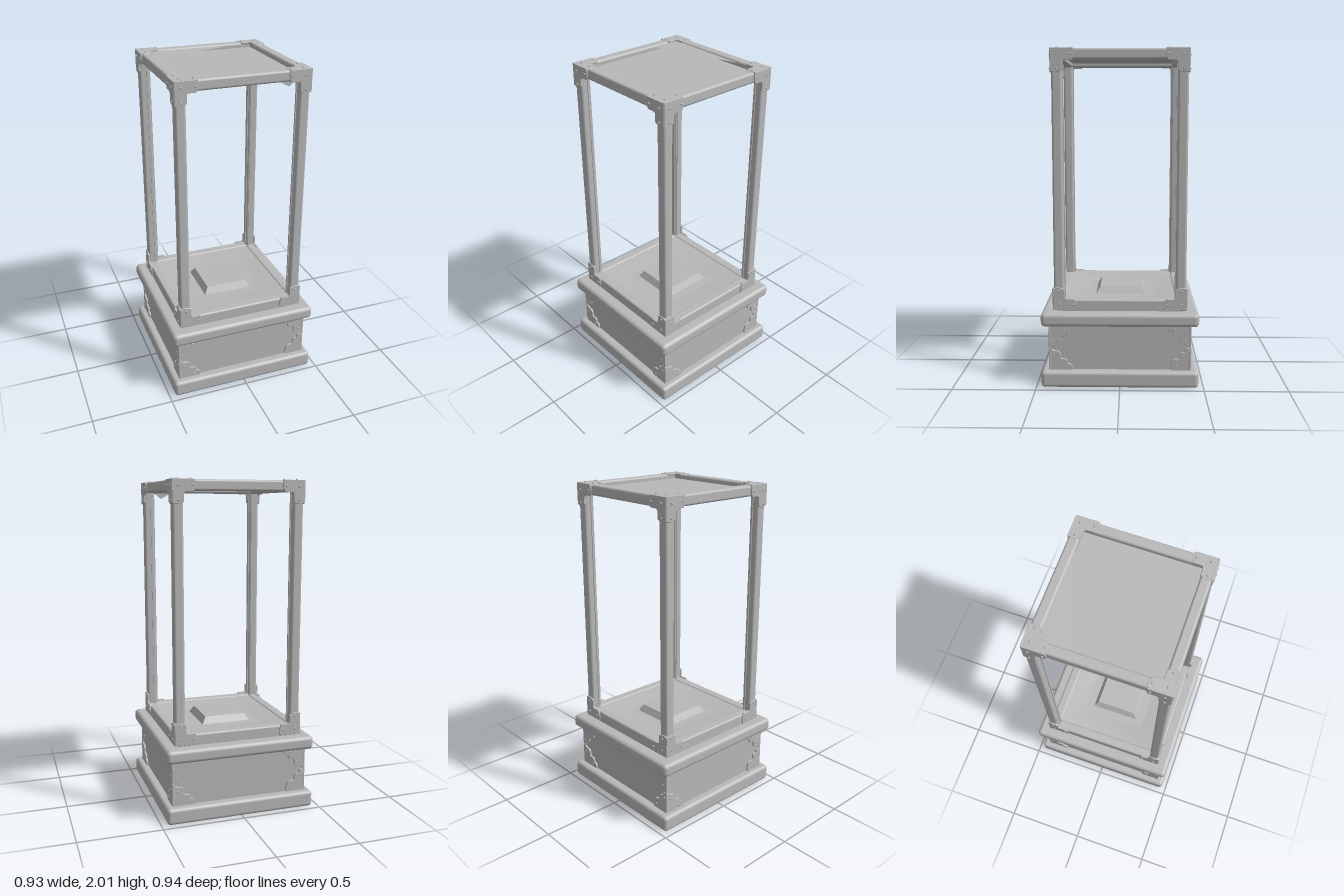
import * as THREE from 'three';
import { toCreasedNormals } from 'three/addons/utils/BufferGeometryUtils.js';
import { RoundedBoxGeometry } from 'three/addons/geometries/RoundedBoxGeometry.js';

export function createModel() {
  const model = new THREE.Group();
  model.name = 'displayCase';
  const grey = new THREE.MeshStandardMaterial({ color: 0xb8b8b8 });
  grey.name = 'plain grey';
  const greySheet = new THREE.MeshStandardMaterial({ color: 0xb8b8b8, side: THREE.DoubleSide });
  greySheet.name = 'plain grey sheet';

  const add = (parent, name, geo, x = 0, y = 0, z = 0, mat = grey) => {
    const m = new THREE.Mesh(geo, mat);
    m.name = name;
    m.position.set(x, y, z);
    parent.add(m);
    return m;
  };
  const box = (parent, name, w, h, d, x, y, z, r) =>
    add(parent, name, new RoundedBoxGeometry(w, h, d, 3, r), x, y, z);

  // Plinth: two rounded slabs with a recessed block between
  box(model, 'baseSlab', 0.93, 0.1, 0.94, 0, 0.05, 0, 0.022);
  box(model, 'plinthBlock', 0.83, 0.3, 0.83, 0, 0.238, 0, 0.008);
  box(model, 'upperSlab', 0.93, 0.082, 0.94, 0, 0.415, 0, 0.025);

  // Shallow sloping floor and raised stand inside the case
  const frustum = (top, bottom, h, open) => {
    const g = new THREE.CylinderGeometry(top * Math.SQRT2, bottom * Math.SQRT2, h, 4, 1, open);
    g.rotateY(Math.PI / 4);
    return toCreasedNormals(g, 0.5);
  };
  add(model, 'floorSlope', frustum(0.345, 0.2, 0.022, true), 0, 0.509, 0, greySheet);
  add(model, 'floor', new THREE.BoxGeometry(0.42, 0.03, 0.42), 0, 0.484, 0);
  add(model, 'stand', frustum(0.13, 0.155, 0.042, false), 0, 0.52, 0);

  // Flat L-shaped cage bracket with rounded arm ends; corner at the origin
  const bracketShape = (len, w) => {
    const s = new THREE.Shape();
    s.moveTo(0, 0);
    s.lineTo(-len + 0.012, 0);
    s.quadraticCurveTo(-len - 0.004, -w * 0.5, -len + 0.018, -w);
    s.lineTo(-w - 0.018, -w);
    s.quadraticCurveTo(-w, -w, -w, -w - 0.018);
    s.lineTo(-w, -len + 0.018);
    s.quadraticCurveTo(-w * 0.5, -len - 0.004, 0, -len + 0.012);
    return s;
  };
  // Lobed ornamental plate for the plinth corners
  const lobedShape = () => {
    const s = new THREE.Shape();
    s.moveTo(0, 0);
    s.lineTo(-0.135, 0);
    s.quadraticCurveTo(-0.145, -0.035, -0.11, -0.038);
    s.quadraticCurveTo(-0.11, -0.07, -0.085, -0.065);
    s.quadraticCurveTo(-0.065, -0.065, -0.068, -0.085);
    s.quadraticCurveTo(-0.066, -0.12, -0.035, -0.115);
    s.quadraticCurveTo(-0.015, -0.13, 0, -0.115);
    return s;
  };
  const extrude = (shape, depth) => toCreasedNormals(new THREE.ExtrudeGeometry(shape,
    { depth, bevelEnabled: true, bevelThickness: 0.003, bevelSize: 0.002, bevelSegments: 1, curveSegments: 6 }), 0.6);
  const cageGeo = extrude(bracketShape(0.14, 0.066), 0.008);
  const lobedGeo = extrude(lobedShape(), 0.01);
  const rivetGeo = new THREE.SphereGeometry(0.007, 8, 6);

  // Riveted plate; turn = quarter turns that aim the corner
  const plate = (parent, name, geo, rivets, x, y, z, turn) => {
    const g = new THREE.Group();
    g.name = name;
    add(g, name + 'Plate', geo);
    rivets.forEach(([rx, ry]) => add(g, 'rivet', rivetGeo, rx, ry, 0.012));
    g.position.set(x, y, z);
    g.rotation.z = turn * Math.PI / 2;
    parent.add(g);
    return g;
  };
  const cageRivets = [[-0.035, -0.035], [-0.115, -0.033], [-0.033, -0.115]];
  const lobedRivets = [[-0.1, -0.02], [-0.03, -0.09]];

  // Four identical sides, each a quarter turn apart
  ['front', 'left', 'back', 'right'].forEach((side, k) => {
    const g = new THREE.Group();
    g.name = side + 'Side';
    g.rotation.y = k * Math.PI / 2;
    model.add(g);

    // Cage post and rails, with slim glazing beads on the inside
    box(g, 'cornerPost', 0.062, 1.5, 0.062, 0.364, 1.225, 0.364, 0.014);
    box(g, 'topRail', 0.76, 0.064, 0.062, 0, 1.964, 0.364, 0.014);
    box(g, 'bottomRail', 0.76, 0.08, 0.062, 0, 0.485, 0.364, 0.012);
    for (const x of [-1, 1])
      add(g, 'glazingBead', new THREE.BoxGeometry(0.008, 1.41, 0.012), x * 0.332, 1.226, 0.35);

    // Cage brackets at all four corners of the side
    plate(g, 'cageBracket', cageGeo, cageRivets, 0.398, 1.996, 0.391, 0);
    plate(g, 'cageBracket', cageGeo, cageRivets, -0.398, 1.996, 0.391, 1);
    plate(g, 'cageBracket', cageGeo, cageRivets, -0.398, 0.463, 0.391, 2);
    plate(g, 'cageBracket', cageGeo, cageRivets, 0.398, 0.463, 0.391, 3);

    // Bracket lying on top of the roof corner
    const lid = new THREE.Group();
    lid.name = 'roofBracketMount';
    lid.rotation.x = -Math.PI / 2;
    lid.position.y = 1.987;
    g.add(lid);
    plate(lid, 'roofBracket', cageGeo, cageRivets, 0.398, 0.398, 0, 0);

    // Lobed plates on the plinth corners
    plate(g, 'plinthBracket', lobedGeo, lobedRivets, 0.425, 0.376, 0.413, 0);
    plate(g, 'plinthBracket', lobedGeo, lobedRivets, -0.425, 0.376, 0.413, 1);
    plate(g, 'plinthBracket', lobedGeo, lobedRivets, -0.425, 0.1, 0.413, 2);
    plate(g, 'plinthBracket', lobedGeo, lobedRivets, 0.425, 0.1, 0.413, 3);
  });

  // Recessed roof panel
  add(model, 'roofPanel', new THREE.BoxGeometry(0.69, 0.008, 0.69), 0, 1.962, 0);

  // Bent scraps of sheet at the back of the roof and under the front rail
  const scrap = (name, pts) => {
    const geo = new THREE.BufferGeometry();
    geo.setAttribute('position', new THREE.Float32BufferAttribute(pts, 3));
    geo.computeVertexNormals();
    add(model, name, geo, 0, 0, 0, greySheet);
  };
  scrap('bentRoofSheet', [-0.36, 1.99, -0.38, -0.36, 1.985, -0.15, 0.28, 1.985, -0.36]);
  scrap('bentRailScrap', [0.18, 1.95, 0.36, 0.28, 1.895, 0.36, 0.335, 1.94, 0.36]);

  return model;
}
